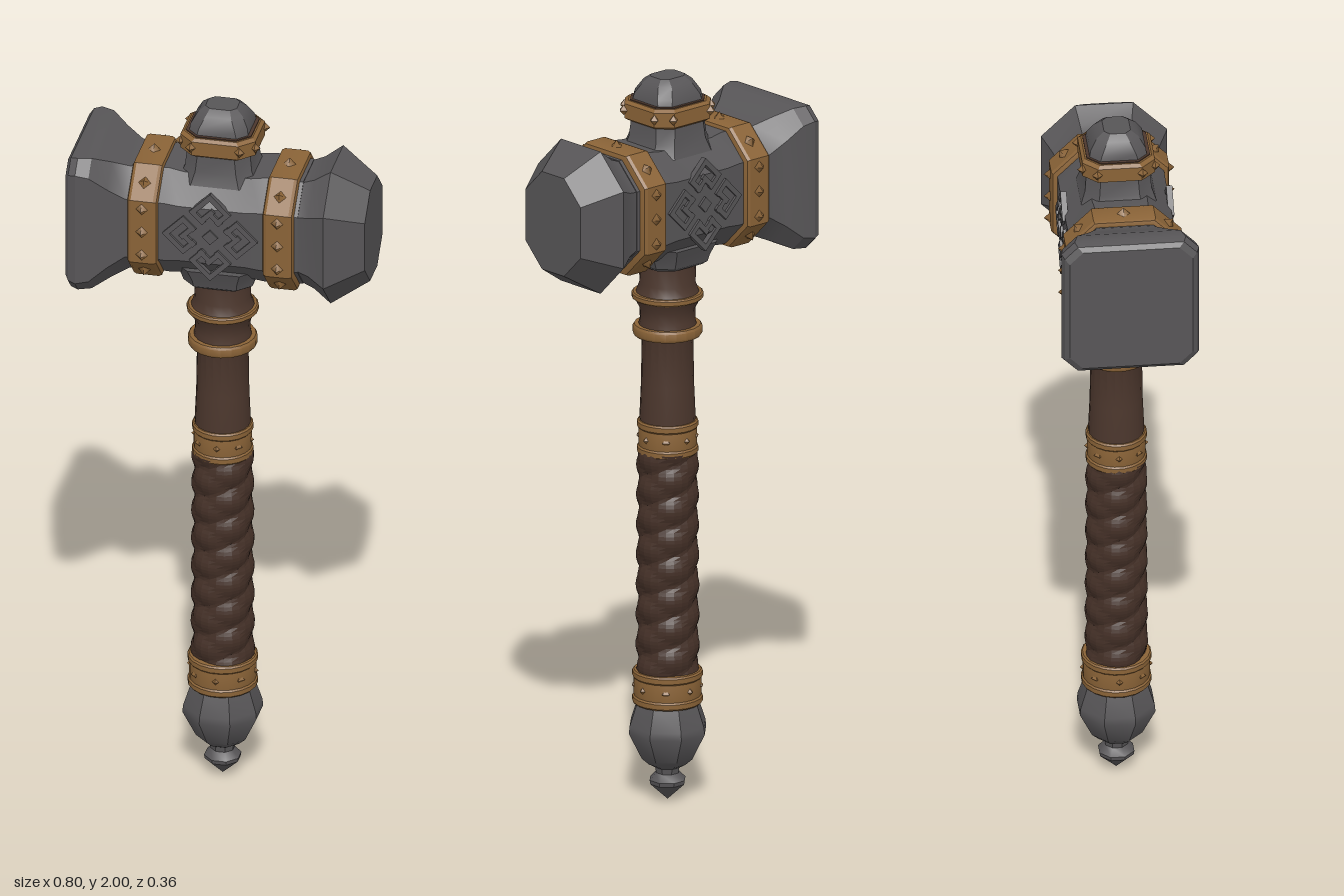
import * as THREE from 'three';
import { toCreasedNormals } from 'three/addons/utils/BufferGeometryUtils.js';

const mat = (name, color, flatShading = false) =>
  Object.assign(new THREE.MeshStandardMaterial({ color, flatShading }), { name });

// Chamfered rectangle loft along x; each section is [x, halfY, halfZ, chamfer]
function loft(sections) {
  const pos = [];
  const rings = sections.map(([x, a, b, c]) => [
    [a, -b + c], [a, b - c], [a - c, b], [-a + c, b],
    [-a, b - c], [-a, -b + c], [-a + c, -b], [a - c, -b],
  ].map(([y, z]) => [x, y, z]));
  const tri = (...p) => p.forEach((v) => pos.push(...v));
  for (let i = 0; i < rings.length - 1; i++) {
    for (let j = 0; j < 8; j++) {
      const k = (j + 1) % 8, p = rings[i], q = rings[i + 1];
      tri(p[j], p[k], q[k]);
      tri(p[j], q[k], q[j]);
    }
  }
  const first = rings[0], last = rings[rings.length - 1];
  for (let j = 1; j < 7; j++) {
    tri(first[0], first[j + 1], first[j]);
    tri(last[0], last[j], last[j + 1]);
  }
  const g = new THREE.BufferGeometry();
  g.setAttribute('position', new THREE.Float32BufferAttribute(pos, 3));
  return toCreasedNormals(g, 0.45);
}

// Same loft standing upright: [y, halfX, halfZ, chamfer]
const tower = (sections) => loft(sections).rotateZ(Math.PI / 2);

function turned(points, sides = 20) {
  const g = new THREE.LatheGeometry(points.map(([r, y]) => new THREE.Vector2(r, y)), sides, Math.PI / sides);
  return toCreasedNormals(g, 0.6);
}

export function createModel() {
  const stone = mat('stone', 0x575557, false);
  const brass = mat('brass', 0x8a6337, false);
  const wood = mat('wood', 0x4c372d, false);
  const leather = mat('leather', 0x443027, true);

  const model = new THREE.Group();
  model.name = 'warHammer';
  const head = new THREE.Group();
  head.name = 'head';
  head.position.y = 1.675;
  const shaft = new THREE.Group();
  shaft.name = 'shaft';
  shaft.position.x = -0.012;
  model.add(head, shaft);

  const add = (parent, name, geometry, material) => {
    const m = new THREE.Mesh(geometry, material);
    m.name = name;
    parent.add(m);
    return m;
  };

  // Head: square striking plate, middle block, tapered striking end
  add(head, 'squareStriker', loft([
    [-0.4, 0.18, 0.163, 0.035], [-0.39, 0.192, 0.175, 0.035], [-0.37, 0.196, 0.182, 0.035],
    [-0.335, 0.194, 0.176, 0.04], [-0.29, 0.172, 0.158, 0.055], [-0.245, 0.152, 0.143, 0.065],
    [-0.2, 0.148, 0.138, 0.07],
  ]), stone);
  add(head, 'headBlock', loft([
    [-0.24, 0.152, 0.138, 0.07], [-0.14, 0.155, 0.141, 0.07], [-0.1, 0.149, 0.141, 0.068],
    [0.08, 0.149, 0.141, 0.068], [0.12, 0.155, 0.141, 0.07], [0.22, 0.152, 0.136, 0.07],
  ]), stone);
  add(head, 'taperedStriker', loft([
    [0.18, 0.145, 0.13, 0.068], [0.215, 0.148, 0.132, 0.068], [0.25, 0.162, 0.143, 0.075],
    [0.296, 0.196, 0.167, 0.09], [0.395, 0.135, 0.108, 0.065],
  ]), stone);

  // Studded straps around the head
  const stud = new THREE.ConeGeometry(0.021, 0.022, 4).translate(0, 0.008, 0);
  const up = new THREE.Vector3(0, 1, 0);
  const addStud = (parent, p, n) => {
    const s = add(parent, 'stud', stud, brass);
    s.position.set(...p);
    s.quaternion.setFromUnitVectors(up, new THREE.Vector3(...n).normalize());
  };
  for (const x of [-0.196, 0.169]) {
    const strap = new THREE.Group();
    strap.name = 'strap';
    strap.position.x = x;
    head.add(strap);
    add(strap, 'strapBand', loft([
      [-0.041, 0.155, 0.144, 0.07], [-0.038, 0.163, 0.152, 0.073], [-0.03, 0.166, 0.156, 0.074],
      [0.03, 0.166, 0.156, 0.074], [0.038, 0.163, 0.152, 0.073], [0.041, 0.155, 0.144, 0.07],
    ]), brass);
    for (const s of [-1, 1]) {
      addStud(strap, [0, s * 0.165, 0], [0, s, 0]);
      for (const y of [-0.068, 0, 0.068]) addStud(strap, [0, y, s * 0.154], [0, 0, s]);
      for (const t of [-1, 1]) addStud(strap, [0, s * 0.128, t * 0.118], [0, s, t]);
    }
  }

  // Raised lattice ornament on front and back
  for (const s of [-1, 1]) {
    const lattice = new THREE.Group();
    lattice.name = 'latticeOrnament';
    lattice.position.set(-0.014, 0, s * 0.14);
    lattice.rotation.z = Math.PI / 4;
    head.add(lattice);
    const bar = (x, y, w, h) =>
      add(lattice, 'latticeBar', new THREE.BoxGeometry(w, h, 0.016), stone).position.set(x, y, 0);
    for (const x of [-1, 1]) {
      for (const y of [-1, 1]) {
        bar(x * 0.054, y * 0.084, 0.072, 0.014);
        bar(x * 0.084, y * 0.054, 0.014, 0.072);
        bar(x * 0.04, y * 0.05, 0.044, 0.014);
        bar(x * 0.05, y * 0.032, 0.014, 0.046);
        bar(x * 0.018, y * 0.066, 0.014, 0.05);
        bar(x * 0.066, y * 0.018, 0.05, 0.014);
      }
    }
    bar(0, 0, 0.03, 0.03);
  }

  // Socket through the head, with lower collar and top cap
  add(shaft, 'lowerCollar', tower([
    [1.485, 0.08, 0.08, 0.03], [1.495, 0.093, 0.093, 0.035], [1.515, 0.1, 0.1, 0.04], [1.55, 0.115, 0.115, 0.045],
  ]), stone);
  add(shaft, 'upperCollar', tower([
    [1.8, 0.105, 0.1, 0.04], [1.835, 0.09, 0.088, 0.035], [1.89, 0.084, 0.084, 0.035],
  ]), stone);
  add(shaft, 'capRing', tower([
    [1.88, 0.088, 0.084, 0.034], [1.888, 0.101, 0.096, 0.038], [1.928, 0.101, 0.096, 0.038], [1.936, 0.092, 0.088, 0.036],
  ]), brass);
  add(shaft, 'capInlay', tower([
    [1.93, 0.088, 0.084, 0.035], [1.939, 0.088, 0.084, 0.035],
  ]), wood);
  add(shaft, 'topCap', tower([
    [1.93, 0.08, 0.077, 0.025], [1.955, 0.077, 0.073, 0.028], [1.985, 0.06, 0.055, 0.025], [2.0, 0.042, 0.035, 0.015],
  ]), stone);
  const knob = new THREE.OctahedronGeometry(0.014);
  for (const a of [-1, 1]) {
    for (const b of [-1, 1]) {
      add(shaft, 'ringKnob', knob, brass).position.set(a * 0.066, 1.91, b * 0.096);
      add(shaft, 'ringKnob', knob, brass).position.set(a * 0.101, 1.91, b * 0.06);
    }
  }

  // Wooden neck and its thin rings
  add(shaft, 'neck', turned([
    [0.069, 0.95], [0.074, 1.06], [0.07, 1.15], [0.068, 1.28], [0.08, 1.3], [0.073, 1.33],
    [0.074, 1.36], [0.09, 1.39], [0.083, 1.405], [0.074, 1.43], [0.076, 1.5],
  ]), wood);
  const ring = (name, y, h, r) => add(shaft, name, turned([
    [r - 0.018, y - h], [r - 0.004, y - h], [r, y - h * 0.6], [r, y + h * 0.6], [r - 0.004, y + h], [r - 0.018, y + h],
  ]), brass);
  ring('lowerNeckRing', 1.3, 0.015, 0.092);
  ring('upperNeckRing', 1.395, 0.009, 0.095);

  // Grip wrapped in overlapping leather
  const grip = new THREE.CylinderGeometry(0.075, 0.075, 0.62, 24, 64, true).translate(0, 0.66, 0);
  const p = grip.attributes.position;
  for (let i = 0; i < p.count; i++) {
    const x = p.getX(i), y = p.getY(i), z = p.getZ(i), a = Math.atan2(z, x);
    const wrap = Math.abs(Math.sin(y * 38 + a)) + 0.5 * Math.abs(Math.sin(y * 38 - 2 * a));
    const r = 0.07 + 0.009 * wrap + 0.004 * (0.96 - y);
    p.setXYZ(i, Math.cos(a) * r, y, Math.sin(a) * r);
  }
  add(shaft, 'leatherGrip', toCreasedNormals(grip, 0.6), leather);

  // Brass bands at both ends of the grip
  for (const [y, h, r] of [[1.005, 0.045, 0.081], [0.315, 0.045, 0.093]]) {
    ring('gripBand', y, h, r - 0.004);
    ring('gripBandRim', y + h - 0.01, 0.011, r);
    ring('gripBandRim', y - h + 0.01, 0.011, r);
    for (let i = 0; i < 8; i++) {
      const a = (i / 8) * Math.PI * 2;
      add(shaft, 'bandStud', knob, brass).position.set(Math.cos(a) * (r - 0.01), y, Math.sin(a) * (r - 0.01));
    }
  }

  // Faceted pommel with a pointed tip
  add(shaft, 'pommel', turned([
    [0, 0], [0.048, 0.045], [0.05, 0.056], [0.032, 0.075], [0.034, 0.09], [0.052, 0.1], [0.072, 0.118],
    [0.108, 0.19], [0.106, 0.21], [0.085, 0.272], [0, 0.275],
  ], 8), stone);

  return model;
}
